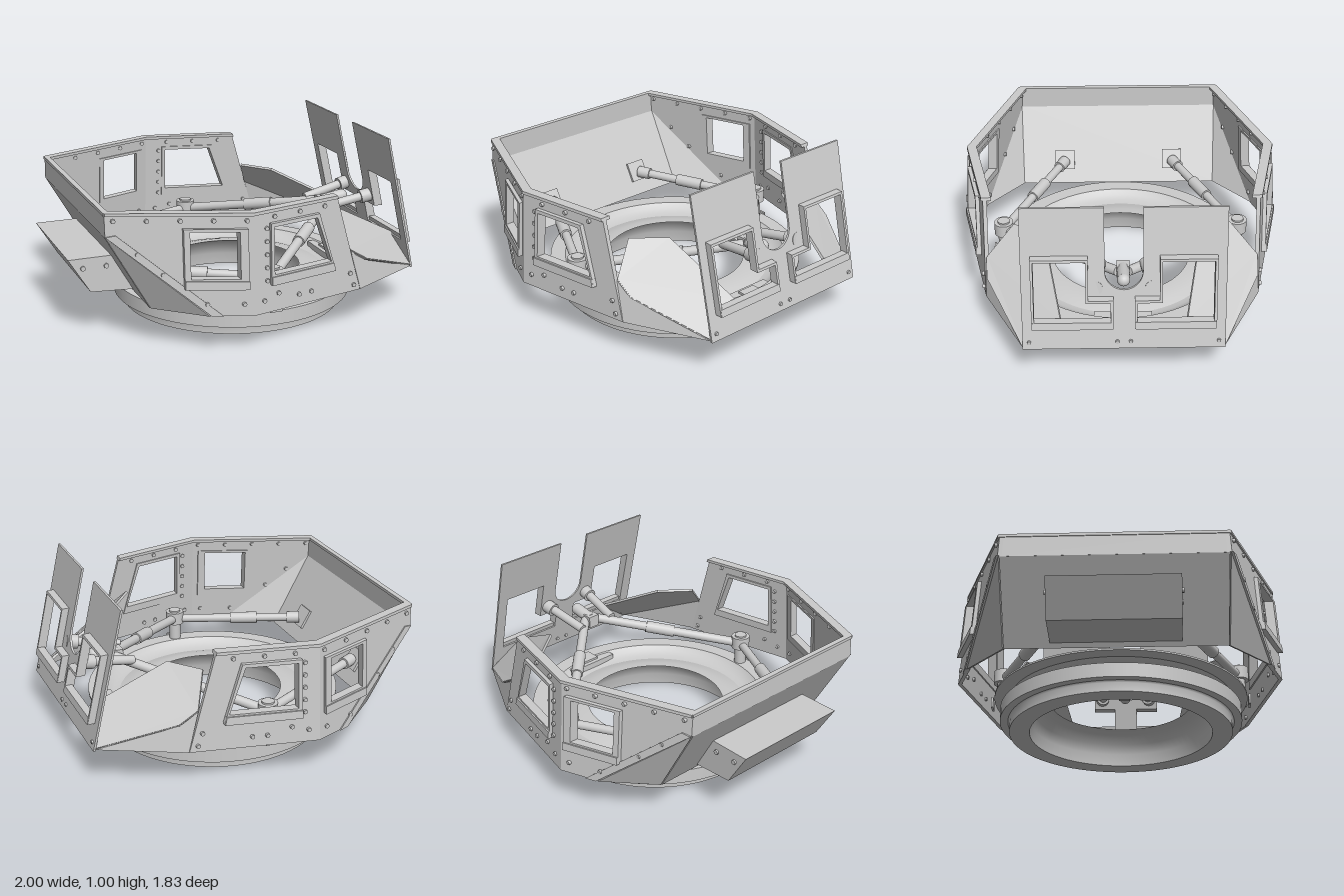
import * as THREE from 'three';

const mat = new THREE.MeshStandardMaterial({ color: 0xcccccc, side: THREE.DoubleSide });
const V = (x, y, z) => new THREE.Vector3(x, y, z);

export function createModel() {
  const root = new THREE.Group();
  const add = (name, geo) => {
    const m = new THREE.Mesh(geo, mat);
    m.name = name;
    root.add(m);
    return m;
  };

  // Mirrored copy across z with the winding restored
  const mirrored = (geo) => {
    const g = geo.clone();
    for (const a of [g.attributes.position, g.attributes.normal]) {
      for (let i = 0; i < a.count; i += 3) {
        const b = V().fromBufferAttribute(a, i + 1), c = V().fromBufferAttribute(a, i + 2);
        a.setXYZ(i + 1, c.x, c.y, c.z);
        a.setXYZ(i + 2, b.x, b.y, b.z);
      }
      for (let i = 0; i < a.count; i++) a.setZ(i, -a.getZ(i));
    }
    return g;
  };
  const pair = (name, geo) => {
    add(name + 'Left', geo);
    add(name + 'Right', mirrored(geo));
  };

  // Flat outline with holes, from depth w0 to w1, laid onto a plane by map(u, v, w)
  const panel = (outline, holes, w0, w1, map) => {
    const pts = (l) => l.map(([a, b]) => new THREE.Vector2(a, b));
    const shape = new THREE.Shape(pts(outline));
    for (const h of holes) shape.holes.push(new THREE.Path(pts(h)));
    const g = new THREE.ExtrudeGeometry(shape, { depth: w1 - w0, bevelEnabled: false });
    const p = g.attributes.position;
    for (let i = 0; i < p.count; i++) p.setXYZ(i, ...map(p.getX(i), p.getY(i), p.getZ(i) + w0));
    g.computeVertexNormals();
    return g;
  };

  // Plate of thickness t spanned by corner points in space
  const sheet = (corners, t = 0.018) => {
    const P = corners.map((c) => V(...c)), n = V(), k = P.length;
    P.forEach((p, i) => n.add(V().crossVectors(p, P[(i + 1) % k])));
    n.setLength(t / 2);
    const A = P.map((p) => p.clone().add(n)), B = P.map((p) => p.clone().sub(n)), out = [];
    for (let i = 1; i < k - 1; i++) out.push(A[0], A[i], A[i + 1], B[0], B[i + 1], B[i]);
    for (let i = 0; i < k; i++) {
      const j = (i + 1) % k;
      out.push(A[i], B[i], B[j], A[i], B[j], A[j]);
    }
    const g = new THREE.BufferGeometry().setFromPoints(out);
    g.computeVertexNormals();
    return g;
  };

  const rod = (name, a, b, r, seg = 20) => {
    const A = V(...a), B = V(...b), d = B.clone().sub(A);
    const m = add(name, new THREE.CylinderGeometry(r, r, d.length(), seg));
    m.position.copy(A).add(B).multiplyScalar(0.5);
    m.quaternion.setFromUnitVectors(V(0, 1, 0), d.normalize());
    return m;
  };
  const box = (name, sx, sy, sz, x, y, z) => {
    const m = add(name, new THREE.BoxGeometry(sx, sy, sz));
    m.position.set(x, y, z);
    return m;
  };

  // Bearing ring: one lathe per band, so bands are smooth and the edges between them crisp
  const bands = {
    ringBore: [[0.40, 0.19], [0.45, 0.168], [0.49, 0.125], [0.512, 0.07], [0.52, 0]],
    ringBottom: [[0.52, 0], [0.635, 0]],
    ringBase: [[0.635, 0], [0.635, 0.05], [0.645, 0.06]],
    flangeBottom: [[0.645, 0.06], [0.69, 0.06]],
    flangeSide: [[0.69, 0.06], [0.69, 0.14]],
    flangeTop: [[0.69, 0.14], [0.5, 0.14]],
    bowlOutside: [[0.5, 0.14], [0.58, 0.155], [0.62, 0.175], [0.64, 0.197]],
    plateBottom: [[0.64, 0.197], [0.725, 0.197]],
    plateEdge: [[0.725, 0.197], [0.725, 0.207]],
    plateTop: [[0.725, 0.207], [0.64, 0.207]],
    bowlInside: [[0.64, 0.207], [0.615, 0.18], [0.58, 0.165], [0.545, 0.16]],
    boreTop: [[0.545, 0.16], [0.50, 0.175], [0.45, 0.187], [0.40, 0.19]],
  };
  for (const [name, pts] of Object.entries(bands)) {
    const g = new THREE.LatheGeometry(pts.map((p) => new THREE.Vector2(...p)), 72);
    add(name, g).position.x = 0.075;
  }
  box('ringClampFront', 0.06, 0.05, 0.32, 0.68, 0.175, 0);
  box('ringLatch', 0.09, 0.045, 0.11, 0.72, 0.19, 0);

  // Side walls: two leaning planes per side meeting at x = -0.16
  const wallZ = (x, y) => 0.908 + (x < -0.16 ? 0.375 : -0.218) * (x + 0.16) - 0.064 * (y - 0.225);
  const onWall = (x, y, w) => [x, y, wallZ(x, y) + w];
  const rearHole = [[-0.47, 0.43], [-0.23, 0.43], [-0.23, 0.68], [-0.47, 0.68]];
  const rearRim = [[-0.50, 0.385], [-0.19, 0.385], [-0.19, 0.695], [-0.50, 0.695]];
  const foreHole = [[-0.04, 0.43], [0.325, 0.43], [0.235, 0.685], [-0.04, 0.685]];
  const foreRim = [[-0.06, 0.385], [0.35, 0.385], [0.25, 0.705], [-0.06, 0.705]];
  pair('rearSideWall', panel([[-0.87, 0.775], [-0.87, 0.65], [-0.37, 0.225], [-0.16, 0.225], [-0.16, 0.775]],
    [rearHole], -0.022, 0, onWall));
  pair('foreSideWall', panel([[-0.16, 0.775], [-0.16, 0.225], [0.53, 0.225], [0.375, 0.775]],
    [foreHole], -0.022, 0, onWall));
  pair('rearWindowFrame', panel(rearRim, [rearHole], -0.03, 0.022, onWall));
  pair('foreWindowFrame', panel(foreRim, [foreHole], -0.03, 0.022, onWall));
  pair('rearWindowSill', panel([[-0.50, 0.375], [-0.19, 0.375], [-0.19, 0.42], [-0.50, 0.42]], [], 0, 0.03, onWall));
  pair('foreWindowSill', panel([[-0.06, 0.375], [0.35, 0.375], [0.34, 0.42], [-0.06, 0.42]], [], 0, 0.03, onWall));
  pair('wallEdgeStrip', panel([[-0.87, 0.65], [-0.37, 0.225], [-0.31, 0.225], [-0.82, 0.66]], [], 0, 0.008, onWall));
  // Rim along the top edge
  pair('rearTopRim', panel([[-0.87, 0.76], [-0.16, 0.76], [-0.16, 0.777], [-0.87, 0.777]], [], -0.045, 0.01, onWall));
  pair('foreTopRim', panel([[-0.16, 0.76], [0.38, 0.76], [0.375, 0.777], [-0.16, 0.777]], [], -0.045, 0.01, onWall));
  box('backTopRim', 0.03, 0.017, 1.22, -0.86, 0.7685, 0);

  // Back wall, sloping lower plate and corner gussets
  box('backWall', 0.02, 0.13, 1.21, -0.86, 0.71, 0);
  add('backSlope', sheet([[-0.862, 0.65, 0.605], [-0.862, 0.65, -0.605], [-0.62, 0.225, -0.595], [-0.62, 0.225, 0.595]]));
  pair('cornerGusset', sheet([[-0.862, 0.65, 0.605], [-0.62, 0.225, 0.595], [-0.37, 0.225, 0.82]]));

  // Rear bin
  add('rearBin', panel([[-1, 0.455], [-0.88, 0.26], [-0.63, 0.245], [-0.76, 0.455]], [], -0.35, 0.35, (x, y, w) => [x, y, w]));

  // Front cheeks: a flat leaning plate over a low corner plate
  pair('cheekUpper', sheet([[0.47, 0.45, 0.74], [0.575, 0.385, 0.735], [0.975, 0.23, 0.53], [0.945, 0.375, 0.33],
    [0.515, 0.605, 0.42], [0.38, 0.605, 0.59]], 0.014));
  pair('cheekLower', sheet([[0.47, 0.45, 0.74], [0.53, 0.225, 0.75], [0.975, 0.23, 0.53], [0.575, 0.385, 0.735]], 0.014));

  // Leaning front shield with a round notch between the two plates
  const onShield = (u, v, w) => [0.985 - (v - 0.22) * 0.231 + w, v, -u];
  const notch = [];
  for (let i = 0; i <= 16; i++) {
    const a = (Math.PI * i) / 16;
    notch.push([0.1 * Math.cos(a), 0.65 - 0.1 * Math.sin(a)]);
  }
  const ell = (s, o) => [[0.47 + o, 0.37 - o], [0.07 - o, 0.37 - o], [0.07 - o, 0.50 + o], [0.20 - o, 0.50 + o],
    [0.20 - o, 0.725 + o], [0.47 + o, 0.725 + o]].map(([u, v]) => [s * u, v]);
  add('frontShield', panel([[-0.535, 0.22], [0.535, 0.22], [0.535, 0.995], [0.1, 0.995], ...notch, [-0.1, 0.995],
    [-0.535, 0.995]], [ell(1, 0), ell(-1, 0)], -0.012, 0, onShield));
  for (const s of [1, -1]) {
    add('shieldWindowFrame', panel(ell(s, 0.014), [ell(s, 0)], 0, 0.04, onShield));
    add('shieldWindowSill', panel([[0.06, 0.355], [0.48, 0.355], [0.48, 0.395], [0.06, 0.395]].map(([u, v]) => [s * u, v]),
      [], 0, 0.042, onShield));
  }

  // Brace rods, posts and mounts
  for (const s of [1, -1]) {
    const post = [0.04, 0.335, 0.68 * s], back = [-0.66, 0.36, 0.335 * s], front = [0.68, 0.5, 0.03 * s];
    const along = (a, b, t) => a.map((v, i) => v + (b[i] - v) * t);
    rod('post', [0.04, 0.2, 0.68 * s], [0.04, 0.38, 0.68 * s], 0.035);
    rod('postCap', [0.04, 0.31, 0.68 * s], [0.04, 0.385, 0.68 * s], 0.055, 28);
    rod('postBolt', [0.04, 0.38, 0.68 * s], [0.04, 0.395, 0.68 * s], 0.035, 28);
    box('postClamp', 0.07, 0.06, 0.012, 0.04, 0.185, 0.735 * s);
    rod('rearBrace', post, back, 0.025);
    rod('rearBraceSleeve', along(post, back, 0.45), along(post, back, 0.66), 0.035);
    rod('rearBraceEnd', along(post, back, 0.9), back, 0.035);
    box('rearBraceMount', 0.03, 0.12, 0.12, -0.685, 0.355, 0.335 * s).rotation.z = 0.54;
    rod('frontBrace', post, front, 0.027);
    rod('frontBraceSleeve', along(post, front, 0.45), along(post, front, 0.64), 0.035);
    rod('shieldStrut', [0.6, 0.5, 0.115 * s], [0.9, 0.56, 0.15 * s], 0.026);
    rod('shieldStrutEnd', [0.84, 0.547, 0.143 * s], [0.905, 0.56, 0.15 * s], 0.04);
  }
  box('braceJoint', 0.06, 0.07, 0.07, 0.66, 0.5, 0);
  rod('braceNose', [0.66, 0.505, 0], [0.79, 0.525, 0], 0.035);
  add('braceNoseTip', new THREE.SphereGeometry(0.035, 20, 12)).position.set(0.79, 0.525, 0);

  // Bolt heads on walls, shield and bin
  const spots = [[-0.21, 0.29], [-0.1, 0.295], [-0.01, 0.32], [0.12, 0.285], [0.2, 0.285], [-0.6, 0.45], [-0.72, 0.56],
    [-0.39, 0.29], [0.46, 0.33], [0.485, 0.26]];
  for (let i = 0; i < 8; i++) spots.push([-0.83 + i * 0.16, 0.735]);
  for (let i = 0; i < 5; i++) spots.push([-0.08, 0.4 + i * 0.07]);
  for (const [x, y] of spots) {
    for (const s of [1, -1]) {
      const z = wallZ(x, y);
      rod('wallBolt', [x, y, s * (z - 0.032)], [x, y, s * (z + 0.012)], 0.012, 8);
    }
  }
  for (const u of [-0.5, -0.035, 0.035, 0.5]) {
    rod('shieldBolt', onShield(u, 0.26, -0.02), onShield(u, 0.26, 0.008), 0.011, 8);
  }
  for (let i = 0; i < 4; i++) {
    const z = i < 2 ? 0.35 : -0.35, x = i % 2 ? -0.92 : -0.79;
    rod('binBolt', [x, 0.4, z - 0.01], [x, 0.4, z + 0.01], 0.014, 8);
  }
  return root;
}
